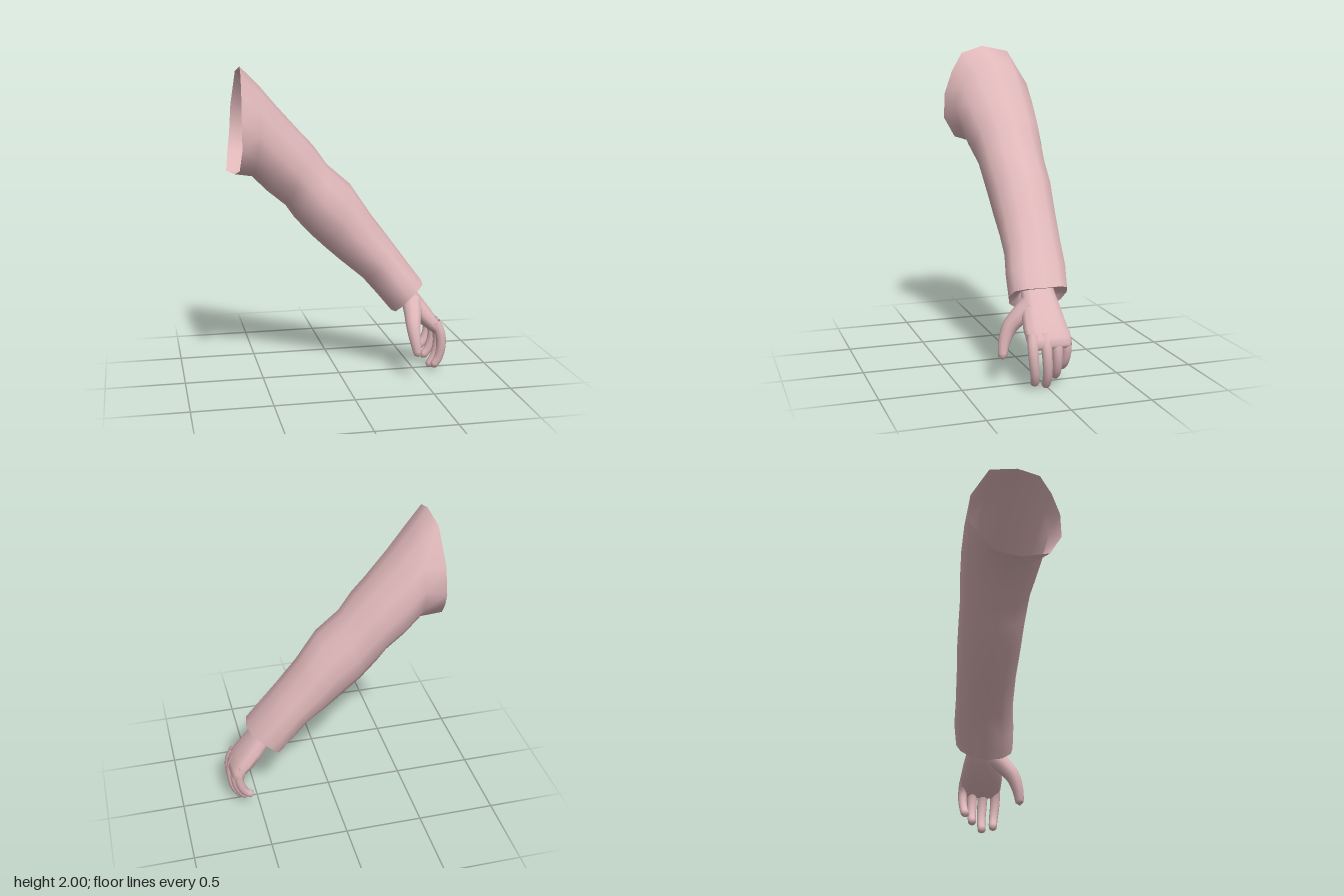
import * as THREE from 'three';
import { mergeVertices } from 'three/addons/utils/BufferGeometryUtils.js';

const SIDES = 12;

// One cross-section: top and bottom points in x/y, front and back limits in z.
// scoop pulls the sides back along the arm; a power below 1 squares the section.
function ring([tx, ty, bx, by, zFront, zBack, scoop = 0, power = 1]) {
  const points = [];
  for (let i = 0; i < SIDES; i++) {
    const a = (i / SIDES) * Math.PI * 2;
    const shape = (v) => Math.sign(v) * Math.abs(v) ** power;
    const c = shape(Math.cos(a)), s = shape(Math.sin(a));
    const back = scoop * s * s;
    points.push([
      (tx + bx) / 2 + (c * (tx - bx)) / 2 - back * 0.7,
      (ty + by) / 2 + (c * (ty - by)) / 2 + back * 0.7,
      (zFront + zBack) / 2 + (s * (zFront - zBack)) / 2,
    ]);
  }
  return points;
}

// Skin a list of cross-sections
function loft(rings) {
  const index = [];
  for (let r = 0; r < rings.length - 1; r++) {
    for (let i = 0; i < SIDES; i++) {
      const j = (i + 1) % SIDES;
      const a = r * SIDES + i, b = r * SIDES + j;
      index.push(a, b, a + SIDES, b, b + SIDES, a + SIDES);
    }
  }
  const geometry = new THREE.BufferGeometry();
  geometry.setAttribute('position', new THREE.Float32BufferAttribute(rings.flat(2), 3));
  geometry.setIndex(index);
  geometry.computeVertexNormals();
  return geometry;
}

// Tapered tube with a rounded tip
function digit(path, baseRadius, tipRadius) {
  const curve = new THREE.CatmullRomCurve3(path.map((p) => new THREE.Vector3(...p)));
  const steps = 20, sides = 10;
  const tube = new THREE.TubeGeometry(curve, steps, 1, sides);
  const pos = tube.attributes.position;
  const length = curve.getLength();
  const v = new THREE.Vector3();
  for (let i = 0; i <= steps; i++) {
    const t = i / steps;
    const center = curve.getPointAt(t);
    let radius = THREE.MathUtils.lerp(baseRadius, tipRadius, t);
    const toTip = (1 - t) * length;
    if (toTip < radius) radius = Math.sqrt(Math.max(0, radius ** 2 - (radius - toTip) ** 2));
    for (let j = 0; j <= sides; j++) {
      const k = i * (sides + 1) + j;
      v.fromBufferAttribute(pos, k).sub(center).multiplyScalar(radius).add(center);
      pos.setXYZ(k, v.x, v.y, v.z);
    }
  }
  tube.deleteAttribute('uv');
  tube.deleteAttribute('normal');
  const geometry = mergeVertices(tube, 1e-5);
  geometry.computeVertexNormals();
  return geometry;
}

export function createModel() {
  const model = new THREE.Group();
  model.name = 'sleevedArm';
  const pink = new THREE.MeshStandardMaterial({ color: 0xe0b8ba, side: THREE.DoubleSide });
  pink.name = 'dustyPink';

  const add = (name, geometry, parent = model) => {
    const mesh = new THREE.Mesh(geometry, pink);
    mesh.name = name;
    parent.add(mesh);
  };

  // Irregular open shoulder edge
  const shoulder = [
    [-0.62, 2.0, 0.03], [-0.63, 1.955, 0.17], [-0.635, 1.83, 0.24], [-0.64, 1.68, 0.29],
    [-0.64, 1.52, 0.295], [-0.65, 1.39, 0.22], [-0.66, 1.345, 0.04], [-0.7, 1.345, -0.12],
    [-0.68, 1.46, -0.22], [-0.66, 1.57, -0.29], [-0.65, 1.75, -0.27], [-0.63, 1.965, -0.15],
  ];

  // Sleeve from shoulder to scooped cuff
  const cuff = ring([0.55, 0.6, 0.35, 0.41, 0.185, -0.19, 0.035, 0.85]);
  const sleeve = [
    [-0.505, 1.89, -0.55, 1.32, 0.245, -0.288],
    [-0.39, 1.755, -0.45, 1.22, 0.215, -0.29],
    [-0.24, 1.59, -0.335, 1.125, 0.18, -0.278],
    [-0.155, 1.5, -0.28, 1.045, 0.17, -0.265],
    [-0.07, 1.38, -0.175, 0.93, 0.16, -0.26],
    [0.08, 1.25, -0.085, 0.845, 0.16, -0.25],
    [0.215, 1.05, 0.01, 0.76, 0.15, -0.235],
    [0.34, 0.885, 0.165, 0.63, 0.155, -0.22],
    [0.45, 0.735, 0.26, 0.52, 0.175, -0.215, 0.02, 0.93],
  ];
  add('sleeve', loft([shoulder, ...sleeve.map(ring), cuff]));

  // Cuff edge turned in towards the wrist
  add('cuffHem', loft([
    cuff,
    ring([0.505, 0.585, 0.365, 0.455, 0.135, -0.135, 0.02, 0.85]),
    ring([0.455, 0.605, 0.345, 0.51, 0.1, -0.1, 0, 0.85]),
  ]));

  const hand = new THREE.Group();
  hand.name = 'hand';
  model.add(hand);

  // Wrist and palm, closed at the knuckles
  const palm = [
    [0.42, 0.655, 0.33, 0.57, 0.1, -0.1],
    [0.49, 0.565, 0.385, 0.485, 0.108, -0.107],
    [0.565, 0.47, 0.45, 0.4, 0.13, -0.127],
    [0.625, 0.39, 0.52, 0.325, 0.14, -0.138],
    [0.668, 0.325, 0.592, 0.272, 0.137, -0.143],
    [0.682, 0.28, 0.622, 0.25, 0.128, -0.138],
    [0.662, 0.255, 0.638, 0.245, 0.1, -0.115],
    [0.651, 0.25, 0.649, 0.249, 0.08, -0.1],
  ];
  add('palm', loft(palm.map((p) => ring([...p, 0, 0.85]))), hand);

  // Curled fingers and hanging thumb
  const digits = {
    indexFinger: [[0.62, 0.34, 0.1], [0.652, 0.27, 0.107], [0.662, 0.19, 0.105], [0.65, 0.1, 0.094], [0.61, 0.025, 0.083]],
    middleFinger: [[0.62, 0.34, 0.03], [0.655, 0.27, 0.025], [0.664, 0.18, 0.02], [0.645, 0.085, 0.013], [0.598, 0.002, 0.01]],
    ringFinger: [[0.61, 0.34, -0.045], [0.643, 0.27, -0.048], [0.645, 0.19, -0.05], [0.62, 0.11, -0.054], [0.573, 0.05, -0.057]],
    littleFinger: [[0.6, 0.34, -0.11], [0.63, 0.27, -0.114], [0.622, 0.2, -0.114], [0.59, 0.135, -0.108], [0.54, 0.1, -0.103]],
  };
  for (const [name, path] of Object.entries(digits)) {
    add(name, digit(path, name === 'littleFinger' ? 0.031 : 0.036, 0.026), hand);
  }
  add('thumb', digit([[0.47, 0.48, 0.06], [0.46, 0.415, 0.13], [0.45, 0.35, 0.185], [0.455, 0.26, 0.222], [0.472, 0.155, 0.24]], 0.068, 0.025), hand);

  return model;
}
